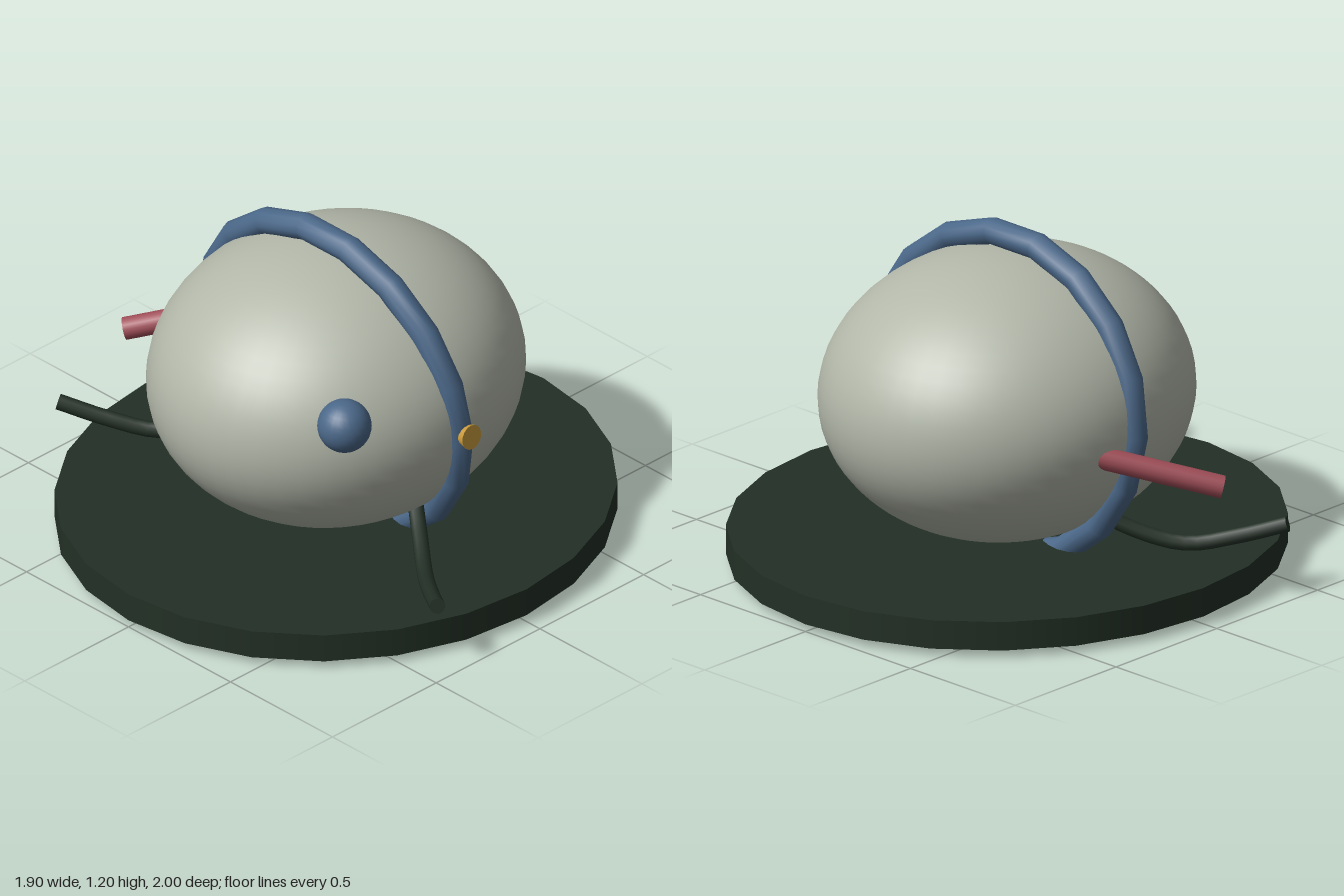
import * as THREE from 'three';

const paint = (name, color) => Object.assign(new THREE.MeshStandardMaterial({ color }), { name });

export function createModel() {
  const group = new THREE.Group();
  const stone = paint('pale stone', 0xb2b7a9);
  const darkGreen = paint('dark green', 0x233026);
  const blue = paint('slate blue', 0x4b6889);
  const rose = paint('dusty rose', 0xa04e58);
  const gold = paint('gold', 0xcb9c3e);

  const add = (name, geometry, material, x = 0, y = 0, z = 0) => {
    const mesh = new THREE.Mesh(geometry, material);
    mesh.name = name;
    mesh.position.set(x, y, z);
    group.add(mesh);
    return mesh;
  };

  // Oval base plate
  add('base', new THREE.CylinderGeometry(1, 1, 0.105, 24), darkGreen, 0, 0.0875, 0).scale.x = 0.935;

  // Egg-shaped body
  add('body', new THREE.SphereGeometry(1, 48, 32), stone, 0, 0.62, 0).scale.set(0.62, 0.505, 0.685);

  // Leaning ring around the body, slightly squashed in height
  const ringShape = new THREE.TorusGeometry(0.605, 0.05, 12, 18).scale(1, 0.935, 1);
  add('ring', ringShape, blue, 0, 0.61, 0).rotation.x = 0.073;

  // Floating ball
  add('ball', new THREE.SphereGeometry(0.094, 24, 16), blue, 0.54, 0.842, 0.49);

  // Flared stud on the ring
  add('stud', new THREE.CylinderGeometry(0.045, 0.028, 0.06, 16), gold, 0.636, 0.632, 0)
    .rotation.z = -Math.PI / 2 + 0.12;

  // Straight spout
  const inner = new THREE.Vector3(-0.45, 0.605, -0.25);
  const tip = new THREE.Vector3(-0.88, 0.455, 0.155);
  const axis = tip.clone().sub(inner);
  const spout = add('spout', new THREE.CylinderGeometry(0.04, 0.04, axis.length(), 16), rose);
  spout.position.copy(inner).lerp(tip, 0.5);
  spout.quaternion.setFromUnitVectors(new THREE.Vector3(0, 1, 0), axis.normalize());

  // Mirrored curved arms with closed ends
  for (const [name, side] of [['leftArm', 1], ['rightArm', -1]]) {
    const path = new THREE.CatmullRomCurve3([
      [0.38, 0.3, 0], [0.5, 0.22, 0.09], [0.65, 0.17, 0.21], [0.79, 0.203, 0.32], [0.93, 0.255, 0.425],
    ].map(([x, y, z]) => new THREE.Vector3(x * side, y, z)));
    add(name, new THREE.TubeGeometry(path, 16, 0.028, 10), darkGreen);
    const cap = add(name + 'Cap', new THREE.CircleGeometry(0.028, 10), darkGreen);
    cap.position.copy(path.getPoint(1));
    cap.quaternion.setFromUnitVectors(new THREE.Vector3(0, 0, 1), path.getTangent(1));
  }

  return group;
}
